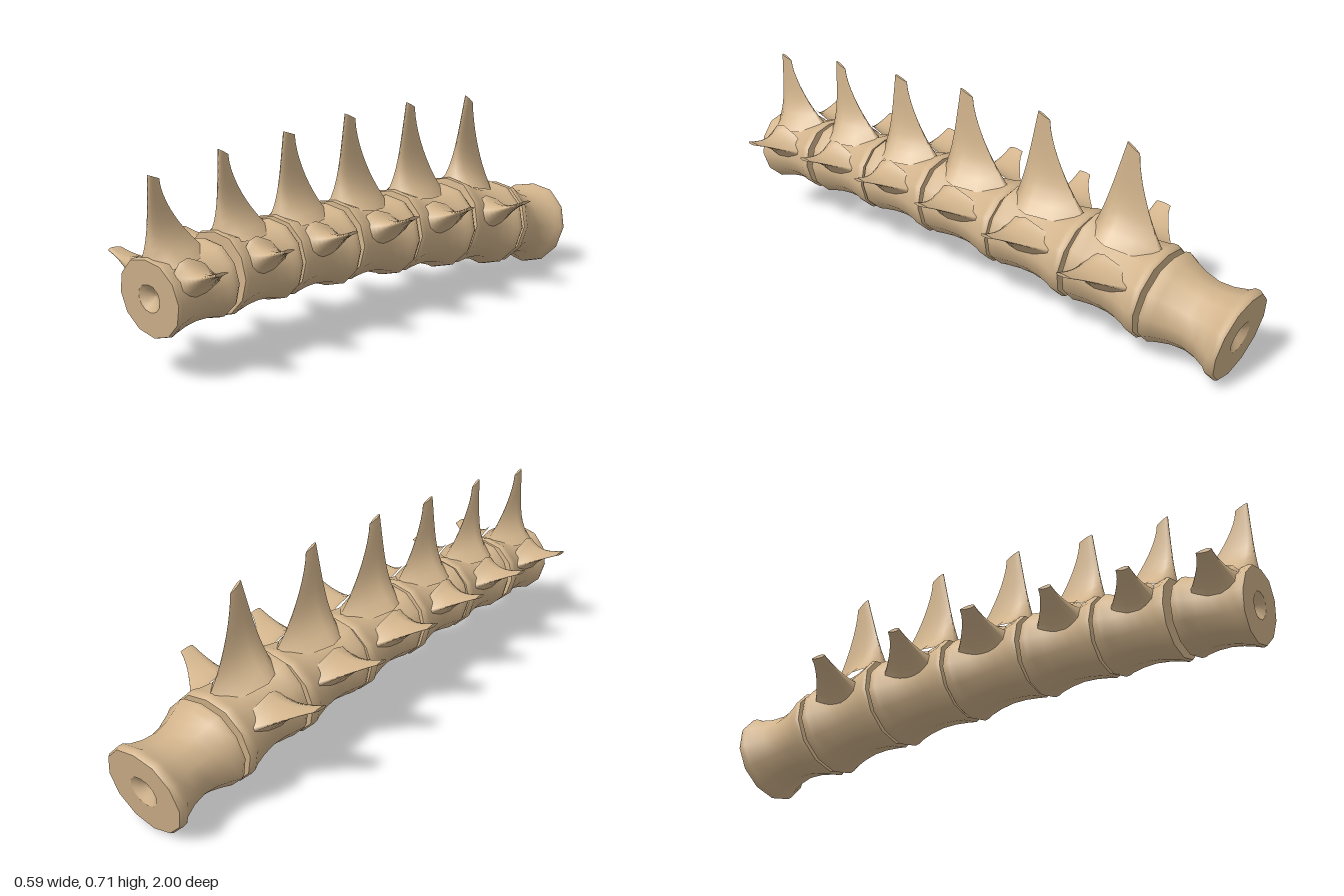
import * as THREE from 'three';

const SIDES = 12;
const bone = new THREE.MeshStandardMaterial({ color: 0xd2b48c });
bone.name = 'bone tan';
const V = (x, y, z) => new THREE.Vector3(x, y, z);
const mix = THREE.MathUtils.lerp;

// Closed skin over rings of points; each ring runs anticlockwise seen from the growing end
function skin(name, rings) {
  const n = rings[0].length, index = [];
  for (let i = 0; i < rings.length - 1; i++)
    for (let j = 0; j < n; j++) {
      const a = i * n + j, b = i * n + (j + 1) % n;
      index.push(a, b, b + n, a, b + n, a + n);
    }
  const geo = new THREE.BufferGeometry().setFromPoints(rings.flat());
  geo.setIndex(index);
  geo.computeVertexNormals();
  const mesh = new THREE.Mesh(geo, bone);
  mesh.name = name;
  return mesh;
}

// Tapered blade: level(u) gives its front edge, back edge and half thickness vector
function blade(name, level) {
  const outline = [[0, 0.42], [0.15, 0.85], [0.33, 1], [0.65, 0.75], [1, 0.15]];
  const rings = [];
  for (let i = 0; i <= 10; i++) {
    const { f, b, n } = level(i / 10);
    const side = (k) => outline.map(([s, w]) => f.clone().lerp(b, s).addScaledVector(n, k * w));
    rings.push([...side(1), ...side(-1).reverse()]);
  }
  const last = rings[rings.length - 1];
  const mid = last.reduce((s, p) => s.add(p), V(0, 0, 0)).divideScalar(last.length);
  const group = new THREE.Group();
  group.name = name;
  group.add(skin(name + 'Sides', rings), skin(name + 'Tip', [last, last.map(() => mid)]));
  return group;
}

function vertebra(d, number) {
  const group = new THREE.Group();
  group.name = 'vertebra' + number;
  const [ft, fb, bt, bb] = d.corners.map(([z, y]) => V(0, y, z));

  // Ring of the centrum at t (0 front, 1 back), scaled by r
  const ring = (t, r) => {
    const top = ft.clone().lerp(bt, t), bottom = fb.clone().lerp(bb, t);
    const centre = top.clone().add(bottom).multiplyScalar(0.5);
    const axis = top.sub(bottom).multiplyScalar(0.5);
    return Array.from({ length: SIDES }, (_, j) => {
      const a = j / SIDES * Math.PI * 2;
      return centre.clone().addScaledVector(axis, Math.min(Math.sin(a), 0.96) * r)
        .add(V(Math.cos(a) * r * mix(d.width[0], d.width[1], t), 0, 0));
    });
  };

  // Spool-shaped centrum with rims
  const w = d.waist;
  const profile = [[1, 0.96], [0.96, 1], [0.9, 0.99], [0.84, mix(w, 1, 0.6)], [0.68, mix(w, 1, 0.18)],
    [0.5, w], [0.32, mix(w, 1, 0.2)], [0.15, mix(w, 1, 0.65)], [0.05, 1], [0, 0.97]];
  group.add(skin('centrum', profile.map(([t, r]) => ring(t, r))));

  // Flat end faces with a dimple
  const dimple = [[0, 0.35], [0.06, 0.2], [0.1, 0.08], [0.11, 0]];
  group.add(
    skin('frontFace', [ring(0, 0.97), ring(0, 0.35)]),
    skin('frontDimple', dimple.map(([t, r]) => ring(t, r))),
    skin('backFace', [ring(1, 0.35), ring(1, 0.96)]),
    skin('backDimple', dimple.map(([t, r]) => ring(1 - t, r)).reverse()));
  if (!d.spine) return group;

  // Upright spine, flaring into the roof of the centrum
  const [[fz, fy], [bz, by]] = d.spine;
  group.add(blade('neuralSpine', (u) => ({
    f: V(0, mix(ft.y - 0.035, fy, u), mix(ft.z - 0.012, fz, u)),
    b: V(0, mix(bt.y - 0.035, by, u), bz + (bt.z + 0.015 - bz) * (1 - u) ** 1.6),
    n: V(0.005 + 0.09 * (1 - u) ** 5, 0, 0),
  })));

  // Side processes, swept upward and outward
  const [tx, ty, tzf, tzb] = d.wing;
  const cy = (ft.y + fb.y + bt.y + bb.y) / 4;
  for (const s of [1, -1])
    group.add(blade(s > 0 ? 'leftProcess' : 'rightProcess', (u) => {
      const x = s * mix(d.width[0] * 0.65, tx, u), y = mix(cy + 0.035, ty, u);
      return {
        f: V(x, y, tzf + (ft.z - 0.03 - tzf) * (1 - u) ** 2),
        b: V(x, y - 0.012 * (1 - u), tzb + (bt.z + 0.03 - tzb) * (1 - u) ** 1.35),
        n: V(0, -s * (0.006 + 0.075 * (1 - u) ** 2.8), 0),
      };
    }));
  return group;
}

// corners: front top, front bottom, back top, back bottom as [z, y]
// spine: front and back of its tip as [z, y]; wing: tip x, y, front z, back z
const DATA = [
  { corners: [[1, 0.385], [0.97, 0.13], [0.757, 0.405], [0.745, 0.15]], width: [0.132, 0.14], waist: 0.86,
    spine: [[0.975, 0.62], [0.933, 0.605]], wing: [0.235, 0.357, 0.94, 0.89] },
  { corners: [[0.725, 0.42], [0.725, 0.145], [0.483, 0.42], [0.477, 0.15]], width: [0.138, 0.142], waist: 0.86,
    spine: [[0.7, 0.66], [0.66, 0.64]], wing: [0.24, 0.375, 0.67, 0.625] },
  { corners: [[0.472, 0.425], [0.466, 0.155], [0.215, 0.425], [0.21, 0.14]], width: [0.142, 0.148], waist: 0.86,
    spine: [[0.42, 0.68], [0.37, 0.665]], wing: [0.252, 0.383, 0.4, 0.355] },
  { corners: [[0.194, 0.43], [0.2, 0.15], [-0.095, 0.405], [-0.07, 0.12]], width: [0.148, 0.155], waist: 0.86,
    spine: [[0.13, 0.705], [0.08, 0.685]], wing: [0.265, 0.385, 0.12, 0.065] },
  { corners: [[-0.11, 0.42], [-0.08, 0.125], [-0.405, 0.4], [-0.365, 0.09]], width: [0.155, 0.165], waist: 0.86,
    spine: [[-0.19, 0.71], [-0.235, 0.69]], wing: [0.28, 0.372, -0.17, -0.215] },
  { corners: [[-0.425, 0.42], [-0.38, 0.095], [-0.7, 0.365], [-0.655, 0.045]], width: [0.16, 0.17], waist: 0.86,
    spine: [[-0.53, 0.7], [-0.575, 0.67]], wing: [0.295, 0.347, -0.475, -0.53] },
  { corners: [[-0.72, 0.36], [-0.67, 0.05], [-1, 0.31], [-0.94, 0]], width: [0.165, 0.163], waist: 0.77 },
];

export function createModel() {
  const model = new THREE.Group();
  model.name = 'backbone';
  DATA.forEach((d, i) => model.add(vertebra(d, i + 1)));
  return model;
}
